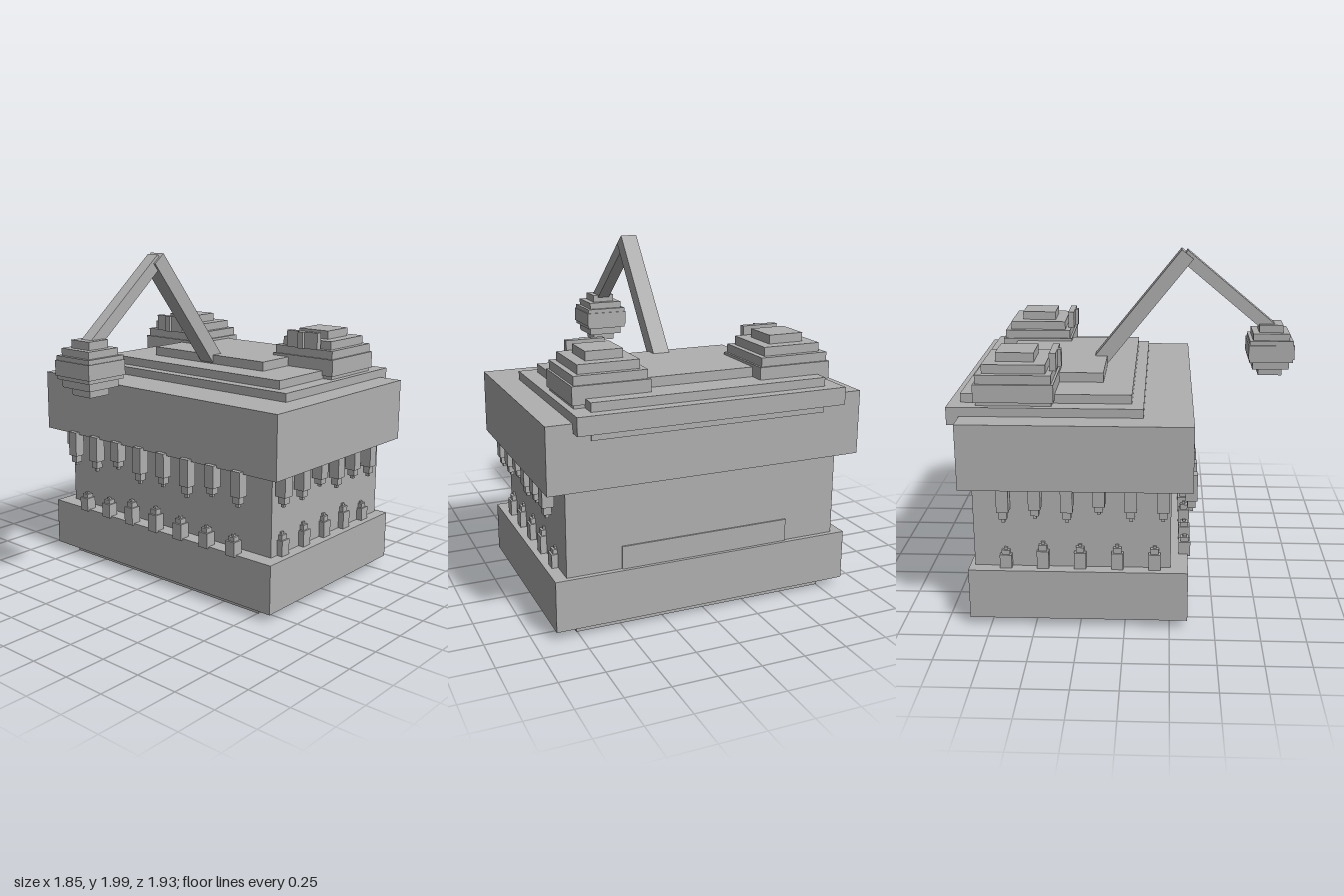
import * as THREE from 'three';

export function createModel() {
  const model = new THREE.Group();
  const grey = new THREE.MeshStandardMaterial({ color: 0xb0b0b0 });
  grey.name = 'grey';

  // Box given by centre x, width, and its y and z ranges
  function box(parent, name, x, w, y0, y1, z0, z1) {
    const m = new THREE.Mesh(new THREE.BoxGeometry(w, y1 - y0, z1 - z0), grey);
    m.position.set(x, (y0 + y1) / 2, (z0 + z1) / 2);
    m.name = name;
    parent.add(m);
    return m;
  }

  function group(name) {
    const g = new THREE.Group();
    g.name = name;
    model.add(g);
    return g;
  }

  // Square layers stacked up around a centre: [width, bottom, top]
  function stack(parent, name, x, z, layers) {
    for (const [w, y0, y1] of layers) box(parent, name, x, w, y0, y1, z - w / 2, z + w / 2);
  }

  // Square beam between two [y, z] points
  function beam(name, w, d, [y0, z0], [y1, z1]) {
    const m = new THREE.Mesh(new THREE.BoxGeometry(w, Math.hypot(y1 - y0, z1 - z0), d), grey);
    m.position.set(0, (y0 + y1) / 2, (z0 + z1) / 2);
    m.rotation.x = Math.atan2(z1 - z0, y1 - y0);
    m.name = name;
    model.add(m);
  }

  // Body blocks
  box(model, 'foot', 0, 1.51, 0, 0.06, -0.805, 0.285);
  box(model, 'lowerJaw', 0, 1.765, 0.05, 0.34, -0.865, 0.35);
  box(model, 'body', 0, 1.625, 0.33, 0.84, -0.837, 0.254);
  box(model, 'upperJaw', 0, 1.85, 0.83, 1.2, -0.893, 0.37);
  box(model, 'backPlate', 0, 1.0, 0.34, 0.47, -0.846, -0.82);

  // Stepped top
  box(model, 'topStepLow', 0, 1.56, 1.15, 1.25, -0.963, 0.1);
  box(model, 'topStepMiddle', 0, 1.37, 1.1, 1.3, -0.9, 0.035);
  box(model, 'topStepHigh', 0, 0.875, 1.28, 1.355, -0.73, -0.135);

  // Stepped eyes with iris and pupil
  for (const [side, name] of [[1, 'leftEye'], [-1, 'rightEye']]) {
    const eye = group(name);
    const x = side * 0.54;
    stack(eye, 'eyeLayer', x, -0.602, [
      [0.41, 1.25, 1.28], [0.435, 1.27, 1.37], [0.41, 1.36, 1.42],
      [0.345, 1.41, 1.47], [0.21, 1.46, 1.52],
    ]);
    box(eye, 'iris', x, 0.22, 1.42, 1.52, -0.415, -0.378);
    box(eye, 'pupil', x, 0.036, 1.42, 1.52, -0.39, -0.358);
  }

  // Bent rod with a hanging lure
  beam('rodLower', 0.1, 0.088, [1.29, -0.205], [1.965, 0.337]);
  beam('rodUpper', 0.076, 0.072, [1.96, 0.315], [1.52, 0.845]);
  stack(group('lure'), 'lureLayer', 0, 0.836, [
    [0.14, 1.25, 1.3], [0.215, 1.295, 1.345], [0.255, 1.34, 1.47],
    [0.268, 1.36, 1.445], [0.215, 1.465, 1.51], [0.14, 1.505, 1.555],
  ]);

  // Tooth in three shrinking steps from its root to its tip
  function tooth(parent, x, z, root, tip) {
    const at = t => root + (tip - root) * t;
    for (const [w, a, b] of [[0.066, 0, 0.7], [0.045, 0.7, 0.9], [0.02, 0.9, 1]]) {
      const p = at(a), q = at(b);
      box(parent, 'toothStep', x, w, Math.min(p, q), Math.max(p, q), z - w / 2, z + w / 2);
    }
  }

  const upper = group('upperTeeth');
  const lower = group('lowerTeeth');
  const upperFront = [0.625, 0.62, 0.67, 0.615, 0.635, 0.61, 0.655, 0.635];
  const upperSide = [0.64, 0.64, 0.68, 0.63, 0.65, 0.625];
  const lowerFront = [0.45, 0.455, 0.485, 0.485, 0.47, 0.46, 0.455];
  const lowerSide = [0.475, 0.48, 0.48, 0.49, 0.455];

  upperFront.forEach((tip, i) => tooth(upper, (i - 3.5) * 0.19, 0.366, 0.845, tip));
  lowerFront.forEach((tip, i) => tooth(lower, (i - 3) * 0.202, 0.333, 0.33, tip));
  for (const side of [-1, 1]) {
    upperSide.forEach((tip, i) => tooth(upper, side * 0.86, 0.21 - i * 0.174, 0.845, tip));
    lowerSide.forEach((tip, i) => tooth(lower, side * 0.815, 0.165 - i * 0.206, 0.33, tip));
  }

  return model;
}
